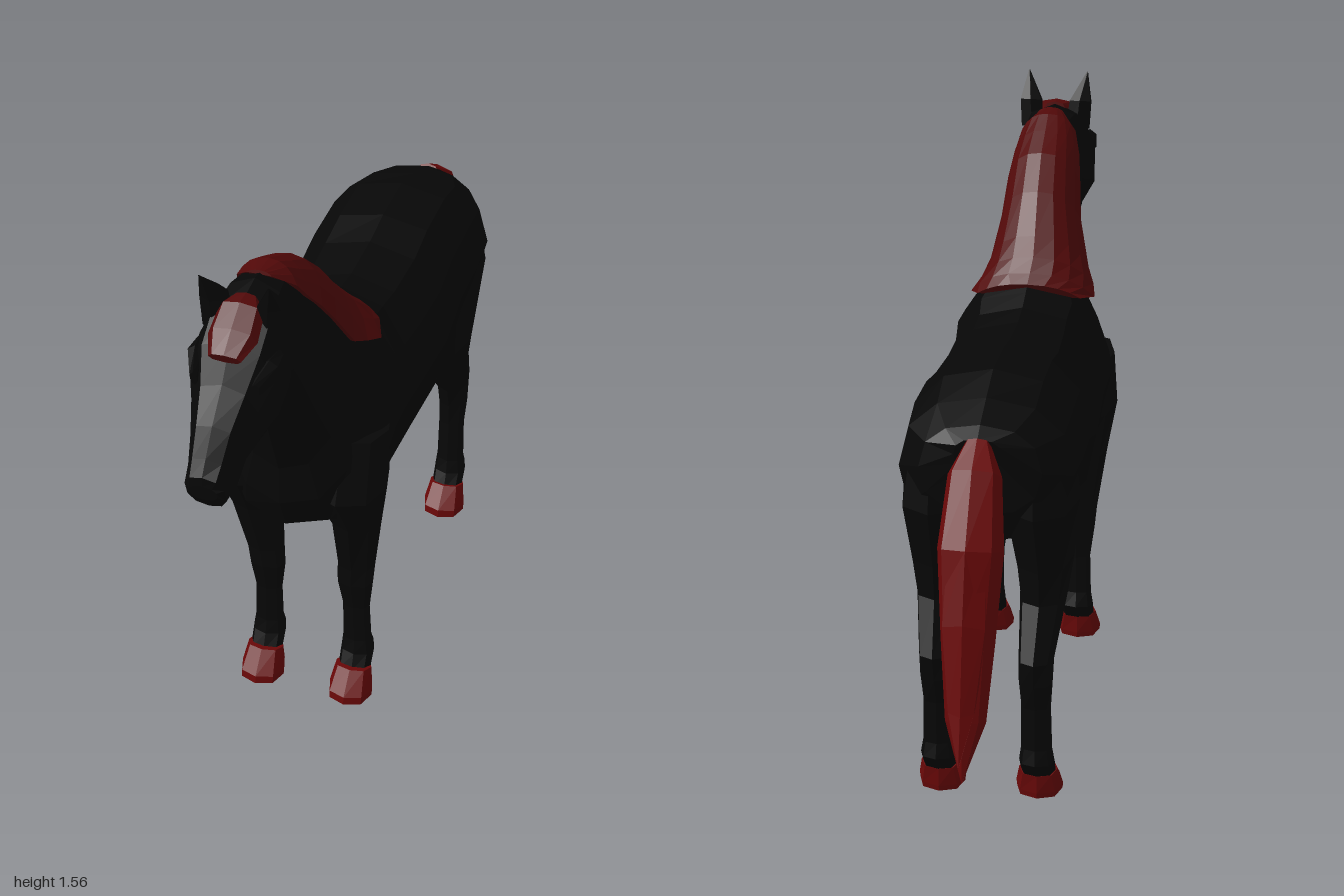
import * as THREE from 'three';

function flatColour(name, hex) {
  const material = new THREE.MeshStandardMaterial({ color: hex });
  material.name = name;
  return material;
}
const coat = flatColour('black coat', 0x070707);
const maneHair = flatColour('dark red mane', 0x520909);
const tailAndHoof = flatColour('red tail and hoof', 0x6a0808);

// Faceted loft. Section: [topZ, topY, bottomZ, bottomY, halfWidth, centreX = 0, halfArc = full ring]
function loft(name, material, sections, sides) {
  const pow = v => Math.sign(v) * Math.abs(v) ** 0.85;
  const rings = sections.map(([tz, ty, bz, by, w, cx = 0, arc]) =>
    Array.from({ length: sides }, (_, j) => {
      const a = arc ? arc * (2 * j / (sides - 1) - 1) : j / sides * Math.PI * 2;
      const c = pow(Math.cos(a)) / 2, s = pow(Math.sin(a));
      return new THREE.Vector3(cx + w * s, (ty + by) / 2 + (ty - by) * c, (tz + bz) / 2 + (tz - bz) * c);
    }));
  const points = [];
  const centre = ring => ring.reduce((m, p) => m.add(p), new THREE.Vector3()).divideScalar(sides);
  const first = rings[0], last = rings[rings.length - 1];
  const c0 = centre(first), c1 = centre(last);
  for (let j = 0; j < sides; j++) {
    const k = (j + 1) % sides;
    points.push(c0, first[j], first[k], c1, last[k], last[j]);
    for (let i = 0; i + 1 < rings.length; i++) {
      const a = rings[i], b = rings[i + 1];
      points.push(a[j], b[j], a[k], a[k], b[j], b[k]);
    }
  }
  const geometry = new THREE.BufferGeometry().setFromPoints(points);
  geometry.computeVertexNormals();
  const mesh = new THREE.Mesh(geometry, material);
  mesh.name = name;
  return mesh;
}

// Same sections moved to one side of the body
const mirrored = (sections, side) => sections.map(s => [...s.slice(0, 5), s[5] * side]);

export function createModel() {
  const horse = new THREE.Group();
  horse.name = 'horse';

  // Barrel, chest and neck, from rump to poll
  horse.add(loft('bodyAndNeck', coat, [
    [-0.685, 1.06, -0.67, 0.97, 0.06],
    [-0.645, 1.08, -0.66, 0.85, 0.15],
    [-0.55, 1.11, -0.58, 0.74, 0.215],
    [-0.44, 1.14, -0.45, 0.69, 0.222],
    [-0.28, 1.13, -0.31, 0.68, 0.222],
    [-0.17, 1.11, -0.13, 0.60, 0.225],
    [-0.02, 1.10, 0.08, 0.59, 0.215],
    [0.06, 1.11, 0.23, 0.58, 0.21],
    [0.12, 1.13, 0.41, 0.60, 0.22],
    [0.15, 1.14, 0.49, 0.655, 0.205],
    [0.18, 1.16, 0.53, 0.75, 0.175],
    [0.24, 1.22, 0.53, 0.86, 0.132],
    [0.33, 1.32, 0.585, 1.00, 0.107],
    [0.43, 1.40, 0.62, 1.10, 0.098],
    [0.54, 1.46, 0.65, 1.18, 0.092],
    [0.62, 1.48, 0.69, 1.20, 0.085],
  ], 12));

  // Head from poll to muzzle
  horse.add(loft('head', coat, [
    [0.57, 1.485, 0.63, 1.22, 0.075],
    [0.65, 1.495, 0.66, 1.18, 0.095],
    [0.74, 1.475, 0.72, 1.16, 0.11],
    [0.81, 1.42, 0.78, 1.145, 0.11],
    [0.865, 1.34, 0.83, 1.13, 0.085],
    [0.93, 1.27, 0.87, 1.115, 0.065],
    [0.975, 1.21, 0.9, 1.07, 0.056],
    [1.0, 1.175, 0.965, 1.07, 0.05],
    [1.0, 1.15, 0.995, 1.11, 0.035],
  ], 10));

  // Mane draped over the crest of the neck, a little heavier on the right
  horse.add(loft('mane', maneHair, [
    [0.135, 1.147, 0.45, 0.64, 0.222, -0.002, 0.62],
    [0.16, 1.17, 0.51, 0.71, 0.205, -0.005, 0.92],
    [0.19, 1.205, 0.53, 0.80, 0.172, -0.01, 1.08],
    [0.235, 1.25, 0.54, 0.86, 0.145, -0.008, 1.2],
    [0.325, 1.345, 0.585, 1.00, 0.117, -0.003, 1.2],
    [0.42, 1.425, 0.62, 1.10, 0.107, 0, 1.2],
    [0.50, 1.465, 0.645, 1.16, 0.1, 0, 1.1],
    [0.56, 1.495, 0.66, 1.19, 0.092, 0, 0.9],
    [0.62, 1.497, 0.69, 1.22, 0.07, 0, 0.4],
  ], 9));

  // Forelock between the ears
  horse.add(loft('forelock', maneHair, [
    [0.705, 1.489, 0.70, 1.45, 0.03],
    [0.745, 1.487, 0.73, 1.43, 0.055],
    [0.80, 1.45, 0.785, 1.39, 0.06],
    [0.85, 1.41, 0.84, 1.385, 0.04],
  ], 8));

  // Tail with a second lock behind
  horse.add(loft('tail', tailAndHoof, [
    [-0.665, 1.03, -0.69, 1.065, 0.03],
    [-0.68, 0.95, -0.77, 1.02, 0.065],
    [-0.715, 0.79, -0.875, 0.86, 0.08],
    [-0.77, 0.54, -0.92, 0.68, 0.066],
    [-0.84, 0.39, -0.945, 0.44, 0.05],
    [-0.955, 0.28, -0.955, 0.28, 0.001],
  ], 8));
  horse.add(loft('tailLock', tailAndHoof, [
    [-0.78, 0.80, -0.875, 0.86, 0.05],
    [-0.84, 0.62, -0.925, 0.69, 0.058],
    [-0.90, 0.48, -0.97, 0.47, 0.035],
    [-1.0, 0.35, -1.0, 0.35, 0.001],
  ], 6));

  for (const side of [1, -1]) {
    const prefix = side > 0 ? 'left' : 'right';
    const add = (part, material, sections, sides) =>
      horse.add(loft(prefix + part, material, mirrored(sections, side), sides));

    add('Ear', coat, [
      [0.69, 1.42, 0.755, 1.40, 0.036, 0.063],
      [0.70, 1.495, 0.755, 1.48, 0.033, 0.07],
      [0.775, 1.56, 0.776, 1.56, 0.002, 0.083],
    ], 6);

    // Brow over the eye
    add('Brow', coat, [
      [0.75, 1.385, 0.75, 1.33, 0.012, 0.095],
      [0.80, 1.385, 0.79, 1.32, 0.022, 0.09],
      [0.855, 1.35, 0.845, 1.31, 0.01, 0.075],
    ], 6);

    add('FrontLeg', coat, [
      [0.43, 0.90, 0.22, 0.88, 0.085, 0.135],
      [0.485, 0.74, 0.23, 0.72, 0.095, 0.132],
      [0.405, 0.60, 0.25, 0.59, 0.066, 0.138],
      [0.35, 0.42, 0.26, 0.43, 0.052, 0.128],
      [0.345, 0.36, 0.265, 0.36, 0.05, 0.124],
      [0.325, 0.27, 0.27, 0.27, 0.038, 0.125],
      [0.32, 0.15, 0.265, 0.16, 0.04, 0.127],
      [0.33, 0.11, 0.25, 0.12, 0.046, 0.128],
      [0.35, 0.065, 0.29, 0.065, 0.045, 0.128],
    ], 8);

    add('HindLeg', coat, [
      [-0.32, 0.97, -0.63, 0.98, 0.075, 0.125],
      [-0.28, 0.81, -0.66, 0.84, 0.095, 0.128],
      [-0.33, 0.66, -0.585, 0.66, 0.075, 0.132],
      [-0.385, 0.55, -0.57, 0.56, 0.06, 0.132],
      [-0.51, 0.42, -0.64, 0.43, 0.045, 0.127],
      [-0.535, 0.35, -0.625, 0.36, 0.043, 0.126],
      [-0.54, 0.28, -0.60, 0.28, 0.038, 0.126],
      [-0.53, 0.15, -0.60, 0.16, 0.04, 0.127],
      [-0.52, 0.11, -0.61, 0.12, 0.046, 0.128],
      [-0.50, 0.065, -0.57, 0.065, 0.045, 0.128],
    ], 8);

    for (const [part, z] of [['FrontHoof', 0], ['HindHoof', -0.86]]) {
      add(part, tailAndHoof, [
        [0.362 + z, 0.08, 0.287 + z, 0.068, 0.05, 0.128],
        [0.412 + z, 0.022, 0.288 + z, 0.015, 0.061, 0.128],
        [0.415 + z, 0, 0.29 + z, 0, 0.06, 0.128],
      ], 8);
    }
  }
  return horse;
}
